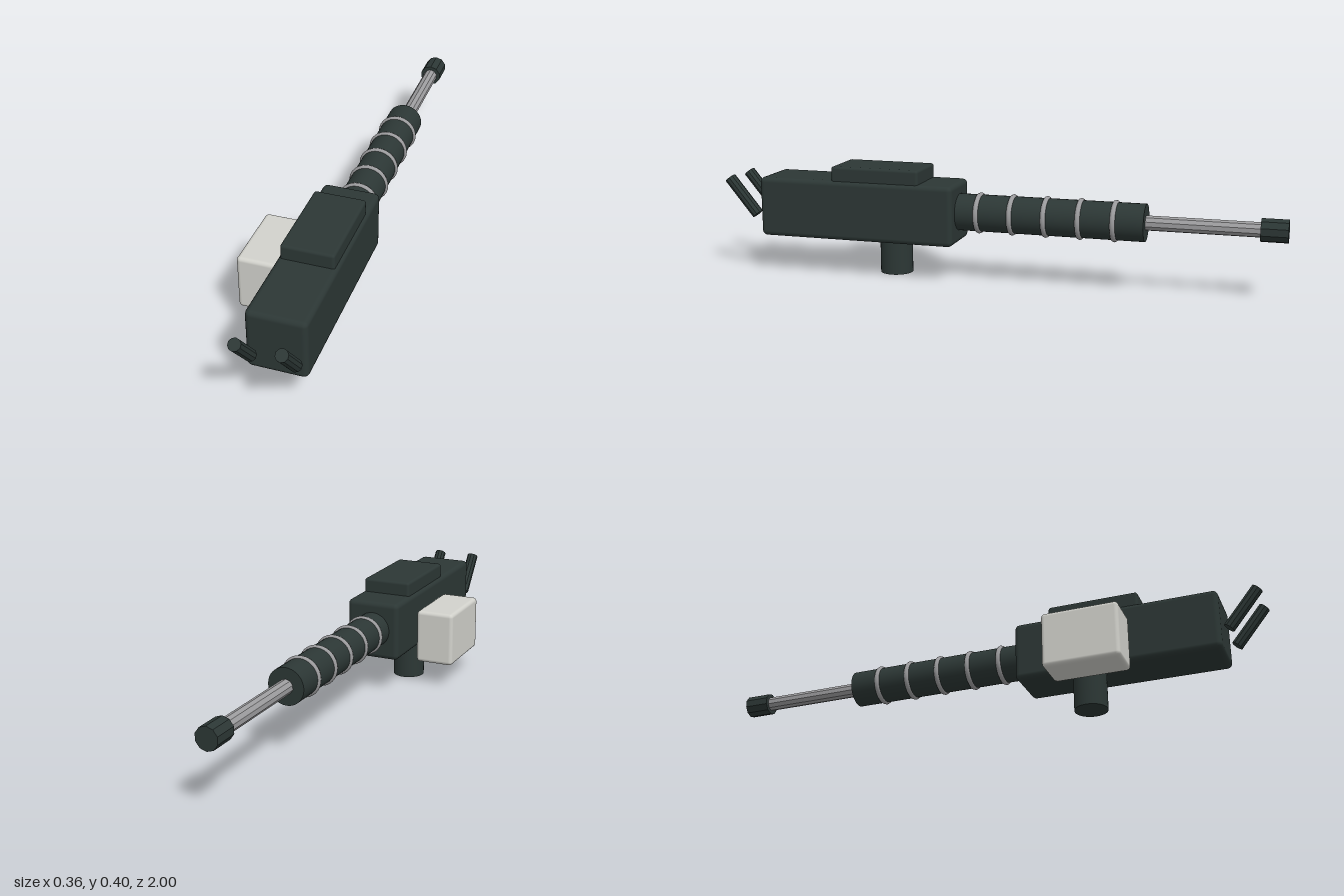
import * as THREE from 'three';
import { RoundedBoxGeometry } from 'three/addons/geometries/RoundedBoxGeometry.js';

export function createModel() {
  const model = new THREE.Group();
  const material = (name, color, flatShading = false) => {
    const m = new THREE.MeshStandardMaterial({ color, flatShading });
    m.name = name;
    return m;
  };
  const dark = material('dark green grey', 0x2c3735);
  const light = material('pale grey', 0xd2d2cc);
  const metal = material('steel grey', 0x9c9c9e);
  dark.flatShading = false;

  const add = (name, geometry, mat) => {
    const mesh = new THREE.Mesh(geometry, mat);
    mesh.name = name;
    model.add(mesh);
    return mesh;
  };
  // Box with softened edges between two corners
  const box = (name, lo, hi, radius, mat) => {
    const size = hi.map((v, i) => v - lo[i]);
    const mesh = add(name, new RoundedBoxGeometry(...size, 2, radius), mat);
    mesh.position.set(...hi.map((v, i) => (v + lo[i]) / 2));
    return mesh;
  };
  // Cylinder between two points; faceted ones get separate face normals
  const rod = (name, from, to, radius, sides, mat, faceted = false) => {
    const a = new THREE.Vector3(...from), b = new THREE.Vector3(...to);
    const dir = b.clone().sub(a);
    let geometry = new THREE.CylinderGeometry(radius, radius, dir.length(), sides);
    if (faceted) {
      geometry = geometry.toNonIndexed();
      geometry.computeVertexNormals();
    }
    const mesh = add(name, geometry, mat);
    mesh.position.copy(a).add(b).multiplyScalar(0.5);
    mesh.quaternion.setFromUnitVectors(new THREE.Vector3(0, 1, 0), dir.normalize());
    return mesh;
  };

  // Housing, top cover, side box and pedestal
  box('housing', [-0.023, 0.133, 0.13], [0.177, 0.347, 0.855], 0.018, dark);
  box('topCover', [-0.013, 0.3, 0.255], [0.167, 0.397, 0.58], 0.01, dark);
  box('sideBox', [-0.178, 0.088, 0.28], [-0.035, 0.287, 0.55], 0.014, light);
  rod('pedestal', [0.0385, 0, 0.385], [0.0385, 0.2, 0.385], 0.0585, 32, dark);

  // Long front assembly: sleeve, inner tube and end cap
  const x = 0.075, y = 0.243;
  rod('sleeve', [x, y, 0.16], [x, y, -0.53], 0.065, 32, dark);
  rod('innerTube', [x, y, -0.5], [x, y, -0.92], 0.026, 10, metal, true);
  rod('endCap', [x, y, -0.91], [x, y, -1], 0.04, 10, dark, true);

  // Bands around the sleeve
  for (let i = 0; i < 5; i++) {
    const band = add('sleeveBand', new THREE.TorusGeometry(0.0625, 0.01, 8, 32), metal);
    band.position.set(x, y, 0.055 - i * 0.12);
  }

  // Pair of slanted grips at the rear of the housing
  for (const gx of [0.004, 0.149]) {
    rod('grip', [gx, 0.206, 0.88], [gx, 0.334, 0.985], 0.021, 10, dark, true);
  }
  return model;
}
